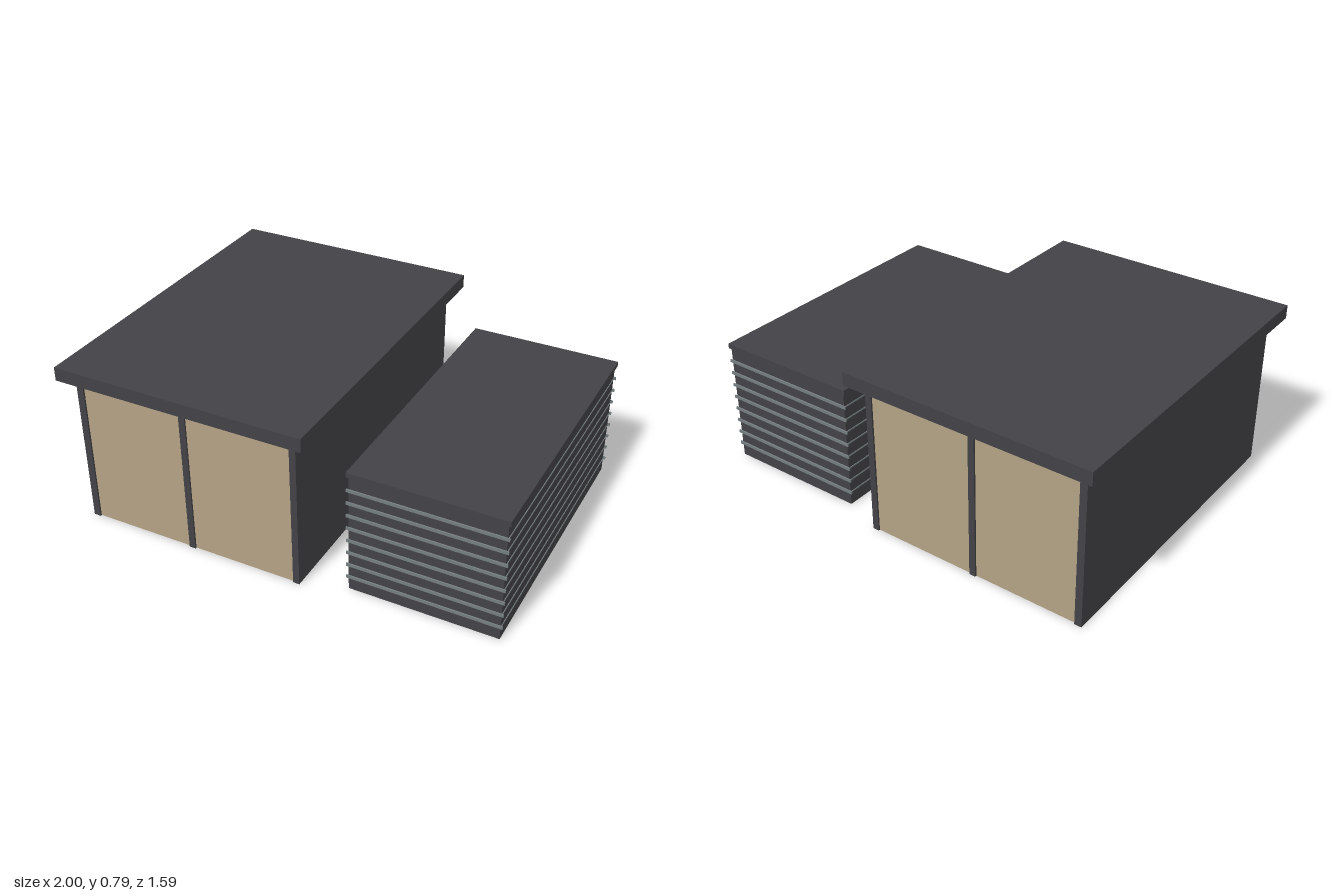
import * as THREE from 'three';

export function createModel() {
  const model = new THREE.Group();
  const charcoal = new THREE.MeshStandardMaterial({ color: 0x434347 });
  charcoal.name = 'charcoal cladding';
  const tan = new THREE.MeshStandardMaterial({ color: 0xb3a284 });
  tan.name = 'tan door';
  const grey = new THREE.MeshStandardMaterial({ color: 0x757d80 });
  grey.name = 'grey trim';

  // Box given by its minimum and maximum corners
  function box(parent, name, material, [x0, y0, z0], [x1, y1, z1]) {
    const mesh = new THREE.Mesh(new THREE.BoxGeometry(x1 - x0, y1 - y0, z1 - z0), material);
    mesh.position.set((x0 + x1) / 2, (y0 + y1) / 2, (z0 + z1) / 2);
    mesh.name = name;
    parent.add(mesh);
  }

  // Double garage: three long walls, doors at both ends, overhanging flat roof
  const garage = new THREE.Group();
  garage.name = 'garage';
  model.add(garage);
  const walls = [[-0.945, -0.912], [-0.43, -0.4], [0.09, 0.12]];
  for (const [x0, x1] of walls) box(garage, 'garageWall', charcoal, [x0, 0, -0.735], [x1, 0.722, 0.735]);
  for (let bay = 0; bay < 2; bay++) {
    const x0 = walls[bay][1], x1 = walls[bay + 1][0];
    box(garage, 'frontDoor', tan, [x0, 0, 0.718], [x1, 0.722, 0.727]);
    box(garage, 'backDoor', tan, [x0, 0, -0.727], [x1, 0.722, -0.718]);
  }
  box(garage, 'garageRoof', charcoal, [-1, 0.722, -0.795], [0.18, 0.785, 0.795]);

  // Small shed: hollow box of thin walls with a thin lid
  const shed = new THREE.Group();
  shed.name = 'shed';
  model.add(shed);
  const t = 0.004;
  for (const x of [0.315, 0.99 - t]) box(shed, 'shedSideWall', charcoal, [x, 0, -0.66], [x + t, 0.568, 0.66]);
  for (const z of [-0.66, 0.66 - t]) box(shed, 'shedEndWall', charcoal, [0.315 + t, 0, z], [0.99 - t, 0.568, z + t]);
  box(shed, 'shedRoof', charcoal, [0.305, 0.568, -0.666], [1, 0.591, 0.666]);
  box(shed, 'shedCeiling', grey, [0.319, 0.5, -0.656], [0.986, 0.508, 0.656]);

  // Horizontal trim strips around the shed
  for (let i = 0; i < 8; i++) {
    const y = 0.065 + i * 0.0627;
    for (const z of [-0.666, 0.66]) box(shed, 'endStrip', grey, [0.305, y - 0.007, z], [1, y + 0.007, z + 0.006]);
    for (const x of [0.312, 0.99]) box(shed, 'sideStrip', grey, [x, y - 0.003, -0.66], [x + 0.003, y + 0.003, 0.66]);
  }
  return model;
}
